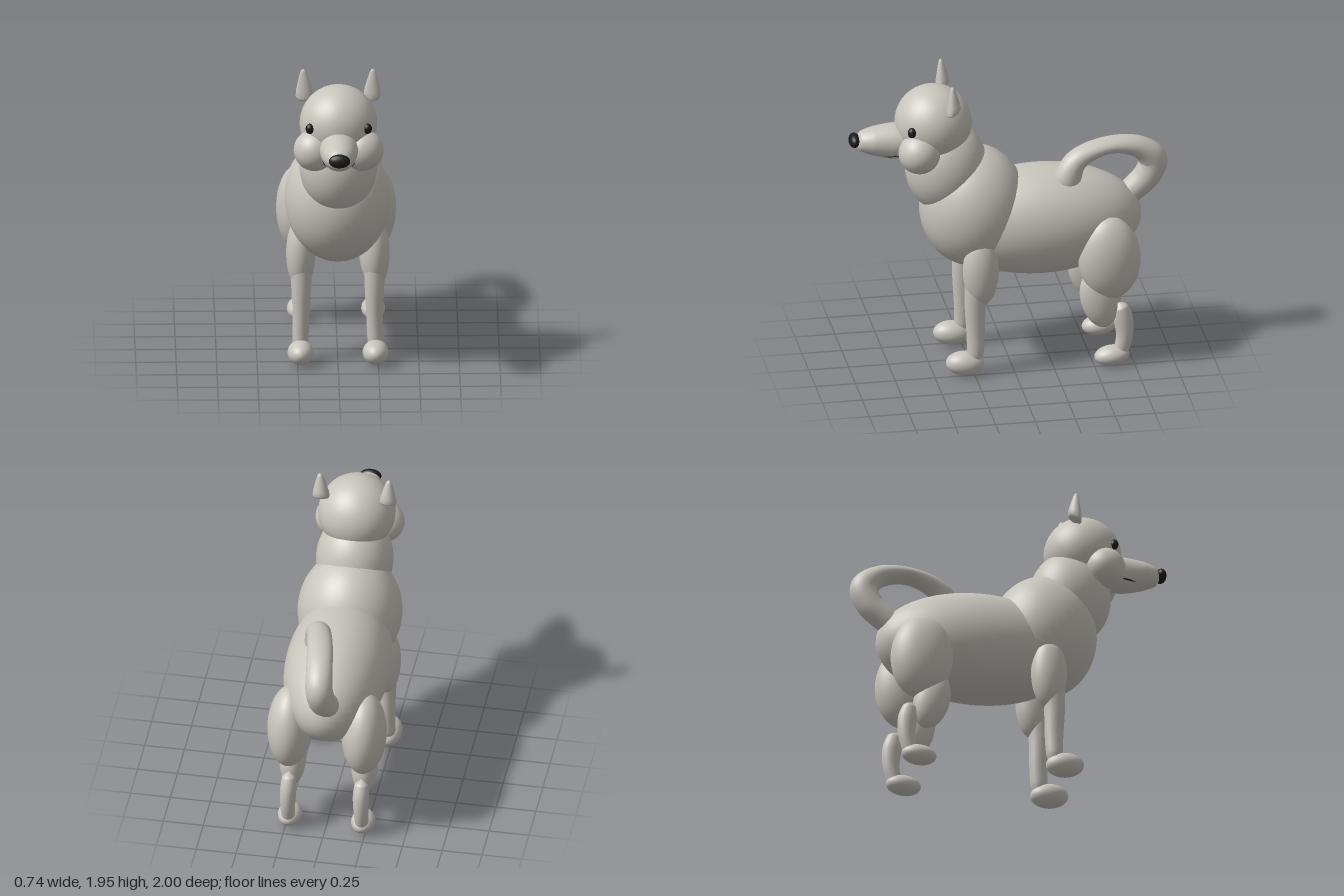
import * as THREE from 'three';

const fur = new THREE.MeshStandardMaterial({ color: 0xc8c5bc });
fur.name = 'warmGreyFur';
const black = new THREE.MeshStandardMaterial({ color: 0x1c1c1c });
black.name = 'black';

function mesh(name, geometry, material = fur) {
  const m = new THREE.Mesh(geometry, material);
  m.name = name;
  return m;
}

// Smooth ellipsoid; tilt turns it about x
function blob(name, [x, y, z], [rx, ry, rz], material = fur, tilt = 0) {
  const m = mesh(name, new THREE.SphereGeometry(1, 40, 28), material);
  m.scale.set(rx, ry, rz);
  m.position.set(x, y, z);
  m.rotation.x = tilt;
  return m;
}

// Oval section swept along a curve; each row is x, y, z, sideways radius, in-plane radius
function sweep(name, rows, material = fur, steps = 40, sides = 28) {
  const path = new THREE.CatmullRomCurve3(rows.map(r => new THREE.Vector3(r[0], r[1], r[2])));
  const radii = new THREE.CatmullRomCurve3(rows.map(r => new THREE.Vector3(r[3], r[4], 0)));
  const xAxis = new THREE.Vector3(1, 0, 0);
  const positions = [], index = [];
  for (let i = 0; i <= steps; i++) {
    const u = i / steps;
    const c = path.getPoint(u), r = radii.getPoint(u);
    const n = path.getTangent(u).cross(xAxis).normalize();
    for (let j = 0; j < sides; j++) {
      const a = (j / sides) * Math.PI * 2;
      const p = c.clone().addScaledVector(xAxis, Math.cos(a) * r.x).addScaledVector(n, Math.sin(a) * r.y);
      positions.push(p.x, p.y, p.z);
      if (i < steps) {
        const k = i * sides + j, l = i * sides + (j + 1) % sides;
        index.push(k, l, l + sides, k, l + sides, k + sides);
      }
    }
  }
  const g = new THREE.BufferGeometry();
  g.setAttribute('position', new THREE.Float32BufferAttribute(positions, 3));
  g.setIndex(index);
  g.computeVertexNormals();
  return mesh(name, g, material);
}

// Rounded cone with a flattened front and a base that slopes up to the rear
function ear(s) {
  const profile = [[0, 0], [0.045, 0], [0.054, 0.015], [0.05, 0.05], [0.036, 0.11], [0.02, 0.165], [0.012, 0.18], [0, 0.186]]
    .map(p => new THREE.Vector2(...p));
  const g = new THREE.LatheGeometry(profile, 28);
  const p = g.attributes.position;
  for (let i = 0; i < p.count; i++) {
    const z = p.getZ(i) * (p.getZ(i) > 0 ? 0.6 : 1);
    p.setZ(i, z);
    p.setY(i, p.getY(i) - z * 0.5 * (1 - p.getY(i) / 0.186));
  }
  g.computeVertexNormals();
  const m = mesh('ear', g);
  m.position.set(s * 0.209, 1.768, 0.387);
  m.rotation.z = -s * 0.04;
  return m;
}

export function createModel() {
  const model = new THREE.Group();
  model.name = 'dog';

  // Trunk, neck and head
  model.add(
    blob('body', [0, 0.93, -0.2], [0.325, 0.35, 0.635]),
    blob('chest', [0, 1.05, 0.22], [0.325, 0.39, 0.335]),
    blob('neck', [0, 1.33, 0.39], [0.24, 0.3, 0.255]),
    blob('head', [0, 1.63, 0.47], [0.24, 0.24, 0.24]),
    sweep('muzzle', [
      [0, 1.52, 0.5, 0.13, 0.11], [0, 1.523, 0.72, 0.117, 0.112], [0, 1.53, 0.85, 0.1, 0.09],
      [0, 1.535, 0.93, 0.066, 0.06], [0, 1.54, 0.965, 0.002, 0.002],
    ]),
    blob('nose', [0, 1.542, 0.965], [0.066, 0.043, 0.034], black, -0.15),
  );

  // Curled tail, rooted at the rump with its tip resting on the back
  model.add(sweep('tail', [
    [-0.03, 0.98, -0.7, 0.07, 0.07], [-0.025, 1.06, -0.78, 0.08, 0.078], [-0.015, 1.16, -0.875, 0.085, 0.086],
    [-0.005, 1.27, -0.91, 0.085, 0.09], [0.008, 1.365, -0.82, 0.083, 0.068], [0.04, 1.405, -0.62, 0.08, 0.05],
    [0.085, 1.34, -0.42, 0.078, 0.068], [0.105, 1.23, -0.355, 0.077, 0.085], [0.105, 1.14, -0.34, 0.07, 0.07],
  ], fur, 72));

  // Mirrored parts
  for (const s of [1, -1]) {
    model.add(
      ear(s),
      blob('cheek', [s * 0.148, 1.49, 0.58], [0.13, 0.13, 0.13]),
      blob('eye', [s * 0.178, 1.645, 0.632], [0.027, 0.033, 0.027], black),
      sweep('mouth', [
        [s * 0.079, 1.452, 0.79, 0.001, 0.001], [s * 0.09, 1.455, 0.75, 0.006, 0.005], [s * 0.098, 1.46, 0.7, 0.004, 0.004],
      ], black, 10, 8),
    );

    // Front leg
    const frontLeg = new THREE.Group();
    frontLeg.name = 'frontLeg';
    frontLeg.add(
      blob('shoulder', [s * 0.23, 0.7, 0.21], [0.09, 0.235, 0.112]),
      sweep('foreleg', [
        [s * 0.228, 0.7, 0.23, 0.07, 0.08], [s * 0.226, 0.48, 0.245, 0.06, 0.066], [s * 0.228, 0.28, 0.242, 0.052, 0.058],
        [s * 0.232, 0.15, 0.245, 0.05, 0.052], [s * 0.232, 0.06, 0.255, 0.03, 0.03],
      ]),
      blob('frontPaw', [s * 0.232, 0.083, 0.31], [0.08, 0.076, 0.12], fur, -0.08),
    );
    model.add(frontLeg);

    // Hind leg
    const hindLeg = new THREE.Group();
    hindLeg.name = 'hindLeg';
    hindLeg.add(
      blob('thigh', [s * 0.233, 0.73, -0.595], [0.138, 0.275, 0.195], fur, 0.06),
      blob('shank', [s * 0.226, 0.45, -0.53], [0.083, 0.195, 0.112], fur, 0.25),
      sweep('hock', [
        [s * 0.228, 0.418, -0.655, 0.003, 0.003], [s * 0.228, 0.385, -0.668, 0.042, 0.046], [s * 0.228, 0.3, -0.685, 0.05, 0.06],
        [s * 0.23, 0.19, -0.69, 0.046, 0.052], [s * 0.23, 0.06, -0.66, 0.04, 0.045],
      ]),
      blob('hindPaw', [s * 0.23, 0.066, -0.612], [0.074, 0.062, 0.11], fur, 0.08),
    );
    model.add(hindLeg);
  }
  return model;
}
